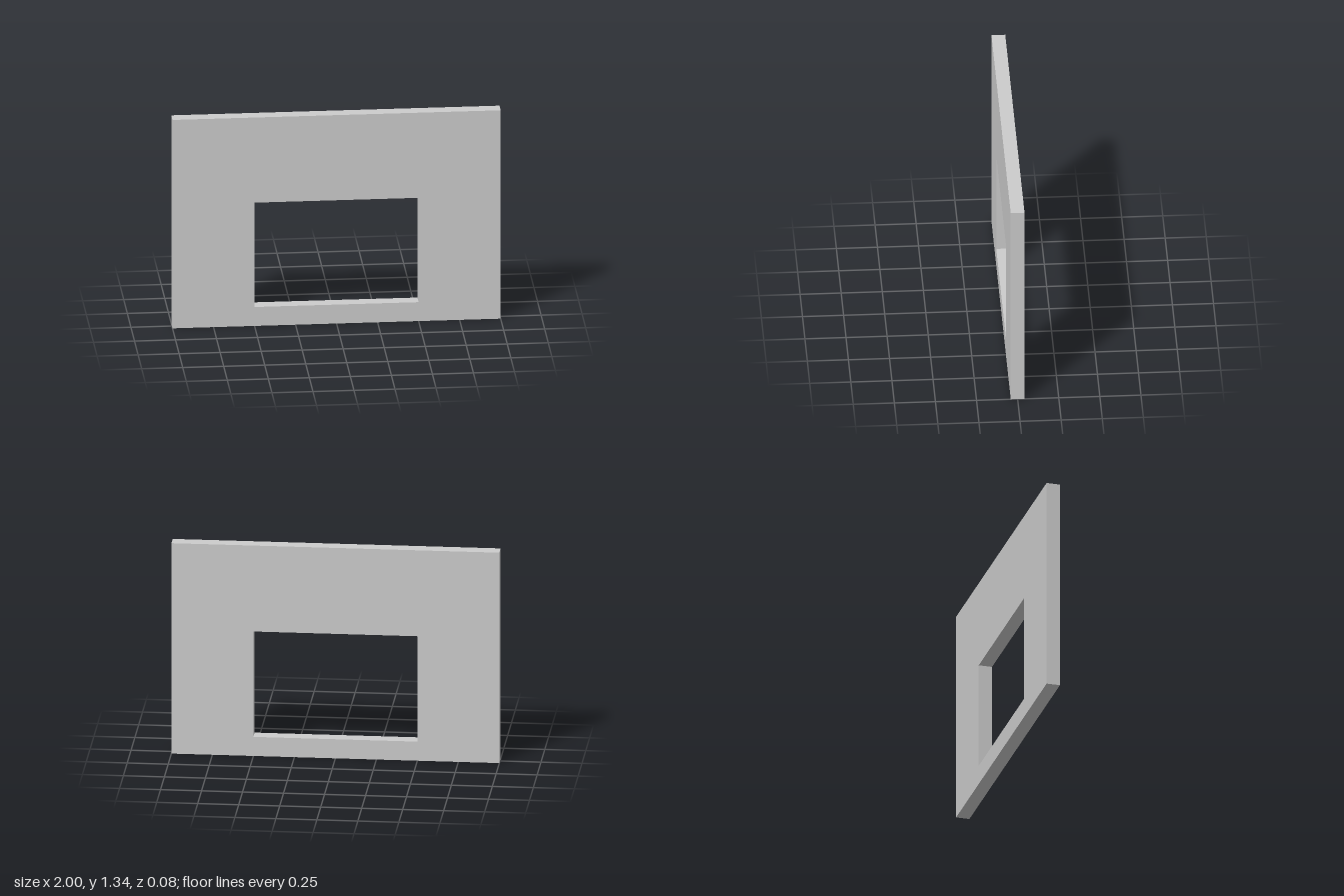
import * as THREE from 'three';

const WIDTH = 2, HEIGHT = 1.344, DEPTH = 0.084;
const OPENING = { left: -0.5, right: 0.5, bottom: 0.122, top: 0.795 };

// Traces a closed rectangle on a Shape or Path
function rectangle(path, x0, y0, x1, y1) {
  path.moveTo(x0, y0);
  path.lineTo(x1, y0);
  path.lineTo(x1, y1);
  path.lineTo(x0, y1);
  path.closePath();
  return path;
}

export function createModel() {
  const group = new THREE.Group();
  group.name = 'windowWall';

  // Wall panel with a rectangular window opening
  const outline = rectangle(new THREE.Shape(), -WIDTH / 2, 0, WIDTH / 2, HEIGHT);
  outline.holes.push(
    rectangle(new THREE.Path(), OPENING.left, OPENING.bottom, OPENING.right, OPENING.top)
  );
  const geometry = new THREE.ExtrudeGeometry(outline, { depth: DEPTH, bevelEnabled: false });
  geometry.translate(0, 0, -DEPTH / 2);

  const wall = new THREE.Mesh(geometry, new THREE.MeshStandardMaterial({ color: 0xcccccc }));
  wall.name = 'wallPanel';
  group.add(wall);
  return group;
}
